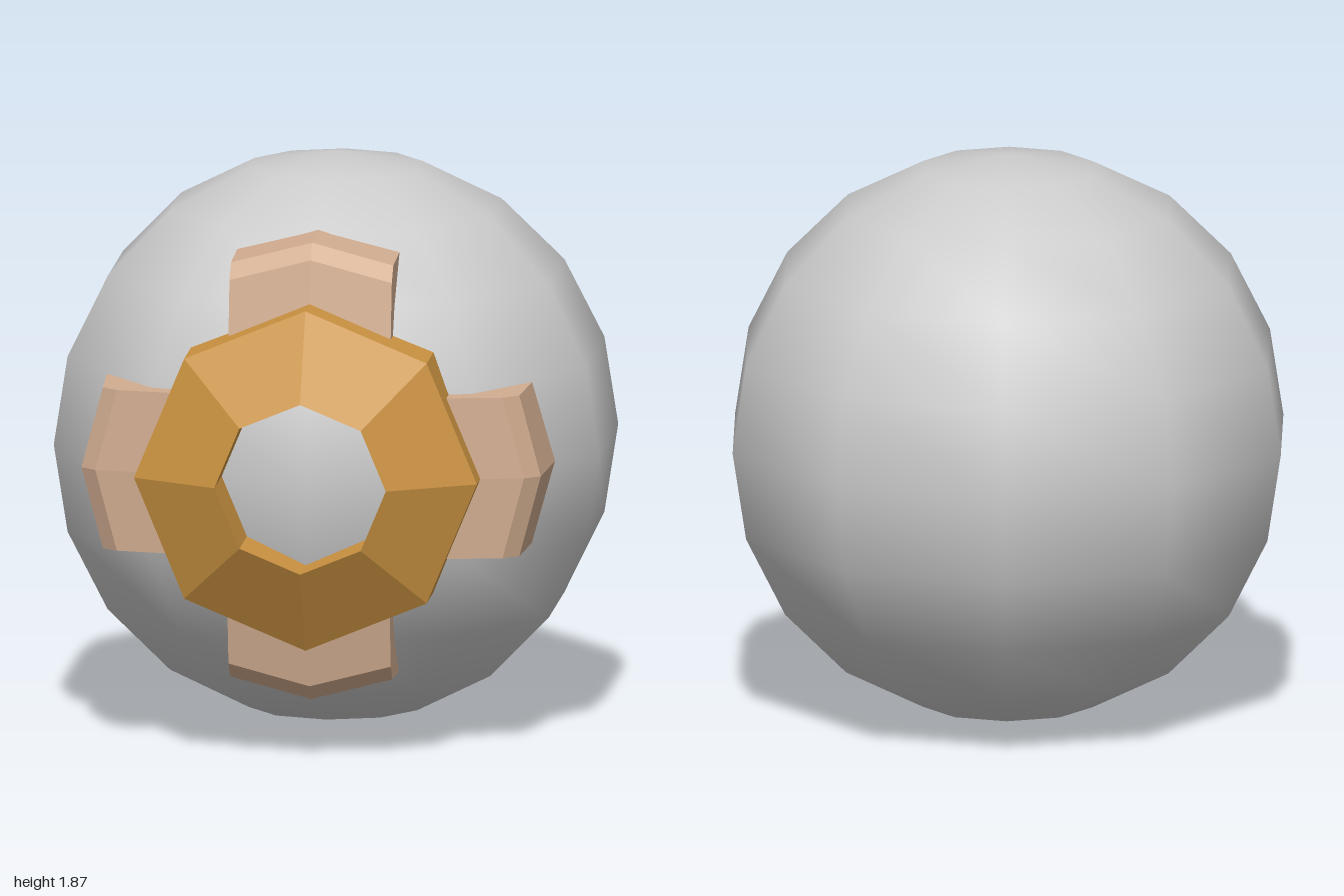
import * as THREE from 'three';

const material = (name, color) => {
  const m = new THREE.MeshStandardMaterial({ color });
  m.name = name;
  return m;
};

const part = (name, geometry, mat) => {
  const mesh = new THREE.Mesh(geometry, mat);
  mesh.name = name;
  return mesh;
};

// Hard facets: split every face and recompute its normals
const faceted = (geometry) => {
  const g = geometry.index ? geometry.toNonIndexed() : geometry;
  g.computeVertexNormals();
  return g;
};

// Bent block: a (radius, z) profile swept over three sections, dropping at both ends
function bracketGeometry() {
  const profile = [[0.45, 0.76], [0.7, 0.715], [0.75, 0.67], [0.77, 0.32], [0.45, 0.32]];
  const sections = [[-0.265, 0.07], [0, 0], [0.265, 0.07]];
  const n = profile.length;
  const positions = [];
  const indices = [];
  for (const [x, drop] of sections) {
    for (const [r, z] of profile) positions.push(x, r - drop, z);
  }
  for (let i = 0; i < sections.length - 1; i++) {
    for (let j = 0; j < n; j++) {
      const k = (j + 1) % n;
      const a = i * n + j, b = a + n, c = (i + 1) * n + k, d = i * n + k;
      indices.push(a, b, c, a, c, d);
    }
  }
  const last = (sections.length - 1) * n;
  for (let j = 1; j < n - 1; j++) {
    indices.push(0, j, j + 1);
    indices.push(last, last + j + 1, last + j);
  }
  const g = new THREE.BufferGeometry();
  g.setAttribute('position', new THREE.Float32BufferAttribute(positions, 3));
  g.setIndex(indices);
  return faceted(g);
}

export function createModel() {
  const model = new THREE.Group();
  model.name = 'ringedBall';
  const grey = material('light grey', 0xcccccc);
  const gold = material('golden orange', 0xcc9442);
  const tan = material('tan', 0xd2ad90);

  // Smooth-shaded body with a coarse outline
  const ball = part('ballBody', new THREE.SphereGeometry(0.9355, 10, 10).rotateY(-Math.PI / 2), grey);
  ball.position.set(0, 0.9355, -0.065);
  model.add(ball);

  // Parts on the front share one centre
  const front = new THREE.Group();
  front.name = 'frontFitting';
  front.position.y = 0.945;
  model.add(front);

  // Eight-sided ring with a sloping face and an open middle
  const ringProfile = [[0.56, 0.5], [0.56, 0.84], [0.28, 1], [0.28, 0.5]]
    .map(([r, z]) => new THREE.Vector2(r, z));
  const ring = faceted(new THREE.LatheGeometry(ringProfile, 8).rotateX(Math.PI / 2));
  front.add(part('octagonRing', ring, gold));

  // Four brackets around the ring, the top one set slightly further back
  const bracket = bracketGeometry();
  ['topBracket', 'leftBracket', 'bottomBracket', 'rightBracket'].forEach((name, i) => {
    const mesh = part(name, bracket, tan);
    mesh.rotation.z = -i * Math.PI / 2;
    if (i === 0) mesh.position.z = -0.03;
    front.add(mesh);
  });

  return model;
}
